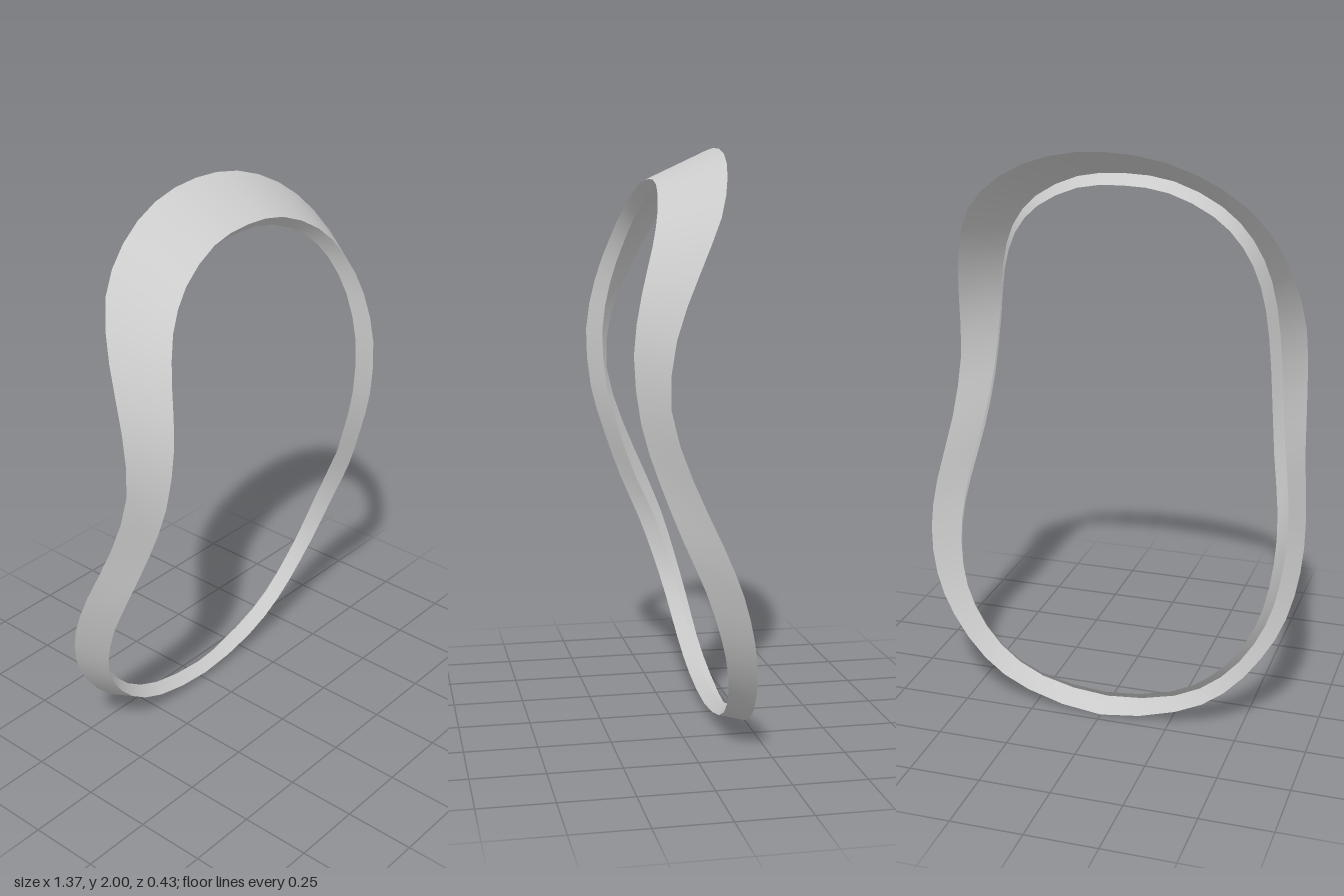
import * as THREE from 'three';

// Half outlines, top centre to bottom centre: [x, y, z]
const OUTER = [
  [0, 2, -0.153], [0.2, 1.975, -0.145], [0.38, 1.895, -0.115], [0.515, 1.77, -0.065], [0.593, 1.6, 0.02],
  [0.63, 1.4, 0.1], [0.638, 1.185, 0.118], [0.652, 0.97, 0.053], [0.68, 0.76, -0.04], [0.68, 0.6, -0.105],
  [0.645, 0.44, -0.15], [0.57, 0.295, -0.18], [0.445, 0.15, -0.2], [0.275, 0.055, -0.213], [0, 0, -0.217],
];
const FRONT = [
  [0, 1.895, 0.07], [0.17, 1.875, 0.077], [0.33, 1.795, 0.102], [0.432, 1.68, 0.138], [0.49, 1.53, 0.184],
  [0.518, 1.345, 0.214], [0.54, 1.13, 0.195], [0.565, 0.945, 0.14], [0.598, 0.76, 0.07], [0.605, 0.6, 0],
  [0.583, 0.44, -0.055], [0.525, 0.3, -0.092], [0.415, 0.165, -0.115], [0.25, 0.07, -0.127], [0, 0.03, -0.13],
];
const STEPS = 56;

// Mirror a half outline into a smooth closed loop
function loop(half) {
  const right = half.map((p) => new THREE.Vector3(...p));
  const left = right.slice(1, -1).reverse().map((p) => new THREE.Vector3(-p.x, p.y, p.z));
  const curve = new THREE.CatmullRomCurve3([...right, ...left], true, 'catmullrom', 0.5);
  return Array.from({ length: STEPS }, (_, i) => curve.getPoint(i / STEPS));
}

// Inner edge of the flange: toward the opening and backward, deeper along the sides
function flangeEdge(ring) {
  return ring.map((p, i) => {
    const t = ring[(i + 1) % STEPS].clone().sub(ring[(i + STEPS - 1) % STEPS]).setZ(0).normalize();
    const level = Math.abs(t.x);
    const inward = 0.026 + 0.009 * level;
    return new THREE.Vector3(p.x + t.y * inward, p.y - t.x * inward, p.z - 0.06 + 0.024 * level);
  });
}

// Closed smooth strip between two loops
function strip(a, b) {
  const pos = [], idx = [];
  for (let i = 0; i < STEPS; i++) {
    pos.push(...a[i].toArray(), ...b[i].toArray());
    const j = (i + 1) % STEPS;
    idx.push(2 * i, 2 * i + 1, 2 * j, 2 * i + 1, 2 * j + 1, 2 * j);
  }
  const geo = new THREE.BufferGeometry();
  geo.setAttribute('position', new THREE.Float32BufferAttribute(pos, 3));
  geo.setIndex(idx);
  geo.computeVertexNormals();
  return geo;
}

export function createModel() {
  const group = new THREE.Group();
  group.name = 'curvedFrame';
  const material = new THREE.MeshStandardMaterial({ color: 0xcccccc, side: THREE.DoubleSide });
  const outer = loop(OUTER);
  const front = loop(FRONT);

  // Wide outer band and the narrow flange folded back from its front edge
  const faces = { outerBand: [outer, front], innerFlange: [front, flangeEdge(front)] };
  for (const [name, [a, b]] of Object.entries(faces)) {
    const mesh = new THREE.Mesh(strip(a, b), material);
    mesh.name = name;
    group.add(mesh);
  }
  return group;
}
